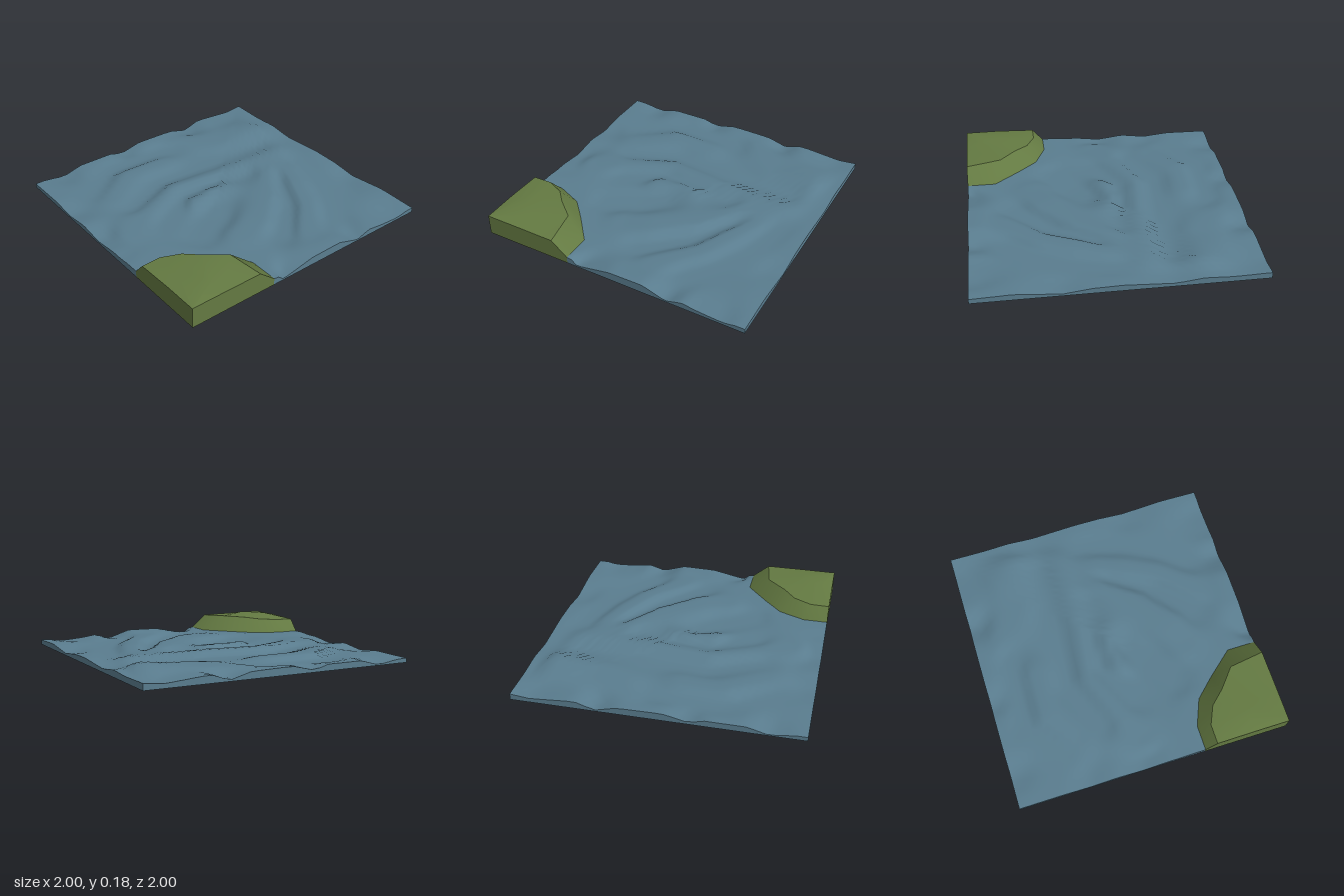
import * as THREE from 'three';
import { toCreasedNormals } from 'three/addons/utils/BufferGeometryUtils.js';

// Wave crests, troughs and rim profiles as polylines of [x, z, height]
const crests = [
  [[-0.79, -0.03, 0.05], [-0.6, -0.12, 0.06], [-0.24, -0.27, 0.07], [0.25, -0.2, 0.07], [0.7, -0.22, 0.065]],
  [[-0.65, -0.45, 0.05], [-0.42, -0.64, 0.065], [-0.1, -0.63, 0.06]],
  [[-0.2, 0.5, 0.06], [0, 0.44, 0.07], [0.25, 0.27, 0.07], [0.45, 0.02, 0.07], [0.54, -0.07, 0.06]],
  [[-0.22, -0.04, 0.07], [0.1, -0.08, 0.075]],
  [[0.2, 0.75, 0.055], [0.42, 0.48, 0.06], [0.52, 0.25, 0.065], [0.62, 0.05, 0.06]],
  [[0.2, -0.83, 0.055], [0.5, -0.62, 0.06], [0.8, -0.57, 0.083]],
];
const troughs = [
  [[-0.45, 0.35, 0.03], [-0.22, 0.2, 0.025], [-0.08, 0.08, 0.03]],
  [[-0.5, 0.02, 0.035], [-0.2, -0.14, 0.04], [0.35, -0.1, 0.04]],
  [[-0.6, -0.25, 0.035], [-0.25, -0.4, 0.03], [0.2, -0.38, 0.035], [0.7, -0.36, 0.03]],
  [[-0.75, -0.6, 0.03], [-0.4, -0.8, 0.03], [0.1, -0.78, 0.035]],
  [[0.05, 0.65, 0.03], [0.3, 0.42, 0.025], [0.5, 0.1, 0.04]],
  [[0.45, 0.75, 0.025], [0.7, 0.4, 0.03], [0.8, 0, 0.035]],
];
const rims = [
  [[-1, 0.1, 0.04], [-1, -0.09, 0.015], [-1, -0.29, 0.04], [-1, -0.48, 0.015], [-1, -0.68, 0.035], [-1, -1, 0.03]],
  [[-0.73, -1, 0.01], [-0.61, -1, 0.045], [-0.32, -1, 0.045], [-0.23, -1, 0.015], [-0.05, -1, 0.055],
    [0.25, -1, 0.05], [0.41, -1, 0.01], [0.55, -1, 0.055], [0.86, -1, 0.03], [1, -1, 0.045]],
  [[1, -0.7, 0.04], [1, -0.55, 0.05], [1, -0.35, 0.025], [1, 0, 0.045], [1, 0.2, 0.04],
    [1, 0.4, 0.015], [1, 0.7, 0.045], [1, 1, 0.035]],
  [[0.8, 1, 0.02], [0.66, 1, 0.03], [0.55, 1, 0.045], [0.43, 1, 0.01], [0.25, 1, 0.065], [0, 1, 0.06], [-0.24, 1, 0.012]],
];
// Shoreline where the bank meets the water
const shore = [[-1, 0.38], [-0.82, 0.38], [-0.63, 0.46], [-0.5, 0.6], [-0.34, 0.79], [-0.34, 1]];

const segments = [...crests, ...troughs, ...rims, [...shore.map(([x, z]) => [x, z, 0.05])]]
  .flatMap((line) => line.slice(1).map((b, i) => [line[i], b]));

// Water height: inverse-distance blend of all the polylines
function waterHeight(x, z) {
  let sum = 0, total = 0;
  for (const [a, b] of segments) {
    const dx = b[0] - a[0], dz = b[1] - a[1];
    const t = THREE.MathUtils.clamp(((x - a[0]) * dx + (z - a[1]) * dz) / (dx * dx + dz * dz), 0, 1);
    const d2 = (x - a[0] - t * dx) ** 2 + (z - a[1] - t * dz) ** 2;
    const w = 1 / (d2 + 0.0004) ** 2;
    sum += w * (a[2] + t * (b[2] - a[2]));
    total += w;
  }
  return sum / total;
}

// Surface through rows of [x, y, z] points, all rows equally long
function loft(rows) {
  const n = rows[0].length, index = [];
  for (let i = 0; i < rows.length - 1; i++) {
    for (let j = 0; j < n - 1; j++) {
      const a = i * n + j, b = a + n;
      index.push(a, a + 1, b, a + 1, b + 1, b);
    }
  }
  const g = new THREE.BufferGeometry();
  g.setAttribute('position', new THREE.Float32BufferAttribute(rows.flat(2), 3));
  g.setIndex(index);
  g.computeVertexNormals();
  return g;
}

// Point at fraction t (0..1) along a polyline, every span taking an equal share
function along(line, t) {
  const k = Math.min(Math.floor(t * (line.length - 1)), line.length - 2);
  const f = t * (line.length - 1) - k;
  return line[k].map((v, i) => v + f * (line[k + 1][i] - v));
}

// Upright wall from a top line down to the ground
const wall = (line) => toCreasedNormals(loft([line, line.map(([x, , z]) => [x, 0, z])]), 0.5);

export function createModel() {
  const group = new THREE.Group();
  const water = new THREE.MeshStandardMaterial({ color: 0x5a7d8f, side: THREE.DoubleSide });
  const grass = new THREE.MeshStandardMaterial({ color: 0x647a42, side: THREE.DoubleSide });
  const add = (name, geometry, material) => {
    const mesh = new THREE.Mesh(geometry, material);
    mesh.name = name;
    group.add(mesh);
  };

  // Water surface spreads from the shore to the back and right edges
  const across = 60, out = 36, rows = [];
  const farEdge = [[-1, -1], [1, -1], [1, 1]];
  for (let i = 0; i <= out; i++) {
    const row = [];
    for (let j = 0; j <= across; j++) {
      const a = along(shore, j / across), b = along(farEdge, j / across), s = i / out;
      const x = a[0] + s * (b[0] - a[0]), z = a[1] + s * (b[1] - a[1]);
      row.push([x, waterHeight(x, z), z]);
    }
    rows.push(row);
  }
  add('waterSurface', loft(rows), water);

  // Water side walls: left, back and right, front
  add('waterSides', wall([
    ...rows.map((r) => r[0]),
    ...rows[out].slice(1),
    ...rows.map((r) => r[across]).reverse().slice(1),
  ]), water);

  // Grassy bank: rings from the corner out to the shore
  const corner = shore.map(() => [-1, 0.152, 1]);
  const mound = [[-1, 0.153, 0.75], [-0.9, 0.172, 0.73], [-0.83, 0.176, 0.78],
    [-0.79, 0.176, 0.83], [-0.77, 0.172, 0.89], [-0.75, 0.152, 1]];
  const brow = [[-1, 0.142, 0.46], [-0.86, 0.145, 0.46], [-0.73, 0.15, 0.52],
    [-0.64, 0.16, 0.62], [-0.5, 0.167, 0.74], [-0.46, 0.15, 1]];
  const foot = shore.map(([x, z]) => [x, waterHeight(x, z), z]);
  const bank = [corner, mound, brow, foot];
  add('grassTop', loft([corner, mound, brow]), grass);
  add('grassSlope', loft([brow, foot]), grass);

  // Bank side walls: front, then left
  add('grassSides', wall([
    ...bank.map((r) => r[5]).reverse(),
    ...bank.map((r) => r[0]).slice(1),
  ]), grass);

  return group;
}
